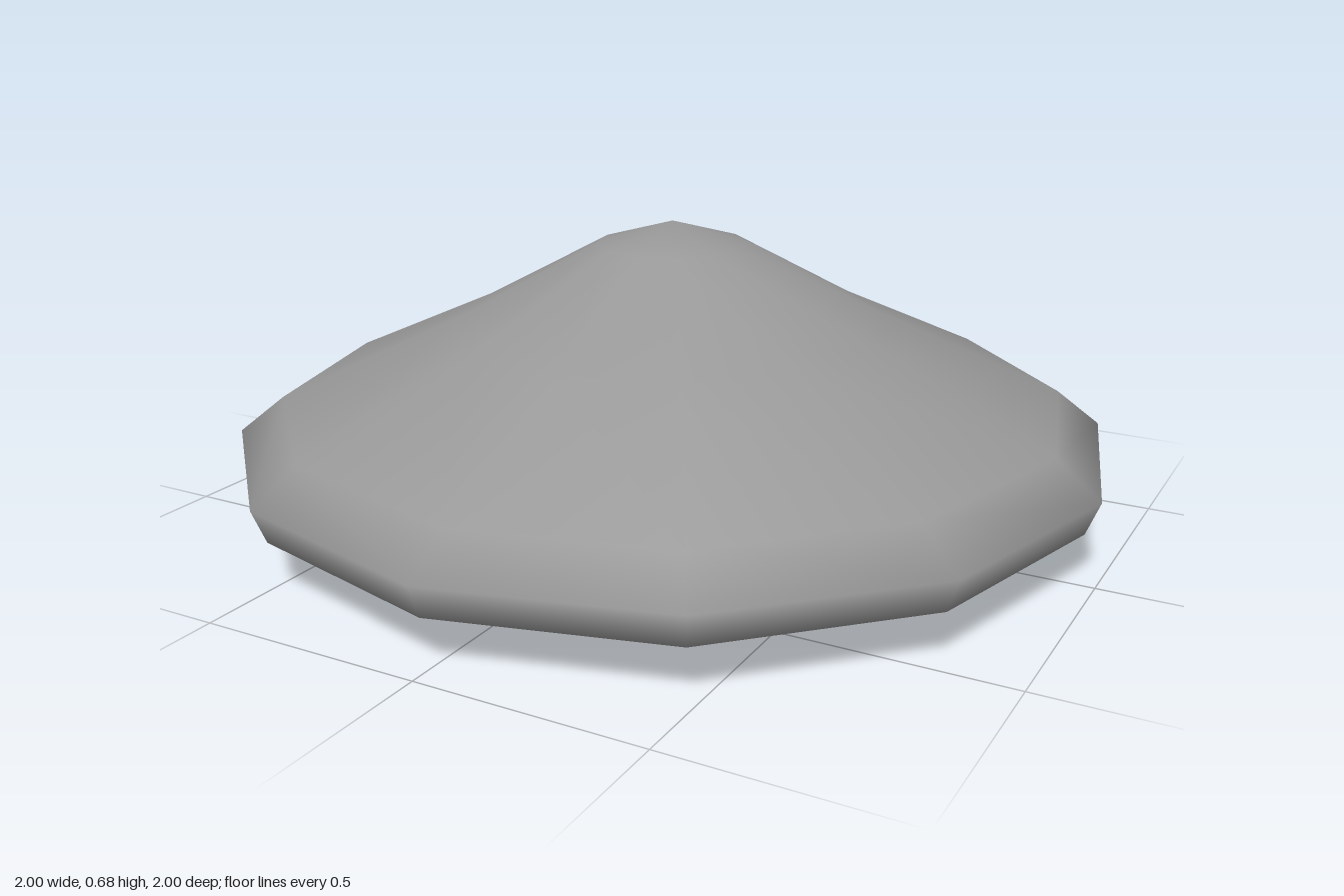
import * as THREE from 'three';

// Smooth normals for a lathe: each ring averages the directions of its two
// neighbouring bands equally, whatever their widths; the poles point straight out
function smoothLathe(profile, sides) {
  const geometry = new THREE.LatheGeometry(profile, sides);
  const bands = profile.slice(1).map((p, j) => {
    const d = p.clone().sub(profile[j]).normalize();
    return new THREE.Vector2(d.y, -d.x);
  });
  const rings = profile.map((p, j) => {
    if (j === 0) return new THREE.Vector2(0, -1);
    if (j === profile.length - 1) return new THREE.Vector2(0, 1);
    return bands[j - 1].clone().add(bands[j]).normalize();
  });
  for (let i = 0; i <= sides; i++) {
    const angle = (i / sides) * Math.PI * 2;
    rings.forEach((n, j) => geometry.attributes.normal.setXYZ(
      i * rings.length + j, n.x * Math.sin(angle), n.y, n.x * Math.cos(angle)));
  }
  return geometry;
}

export function createModel() {
  const group = new THREE.Group();
  group.name = 'saucer';

  // Half profile from the bottom centre, round the rim, to the apex
  const profile = [
    [0, 0], [0.3, 0.005], [0.6, 0.08], [0.7, 0.115],
    [0.97, 0.115], [1, 0.19], [0.9, 0.27],
    [0.5, 0.452], [0.17, 0.63], [0, 0.68],
  ].map(([r, y]) => new THREE.Vector2(r, y));

  // Twelve-sided body in mid grey
  const material = new THREE.MeshStandardMaterial({ color: 0x989898 });
  const hull = new THREE.Mesh(smoothLathe(profile, 12), material);
  hull.name = 'hull';
  group.add(hull);
  return group;
}
